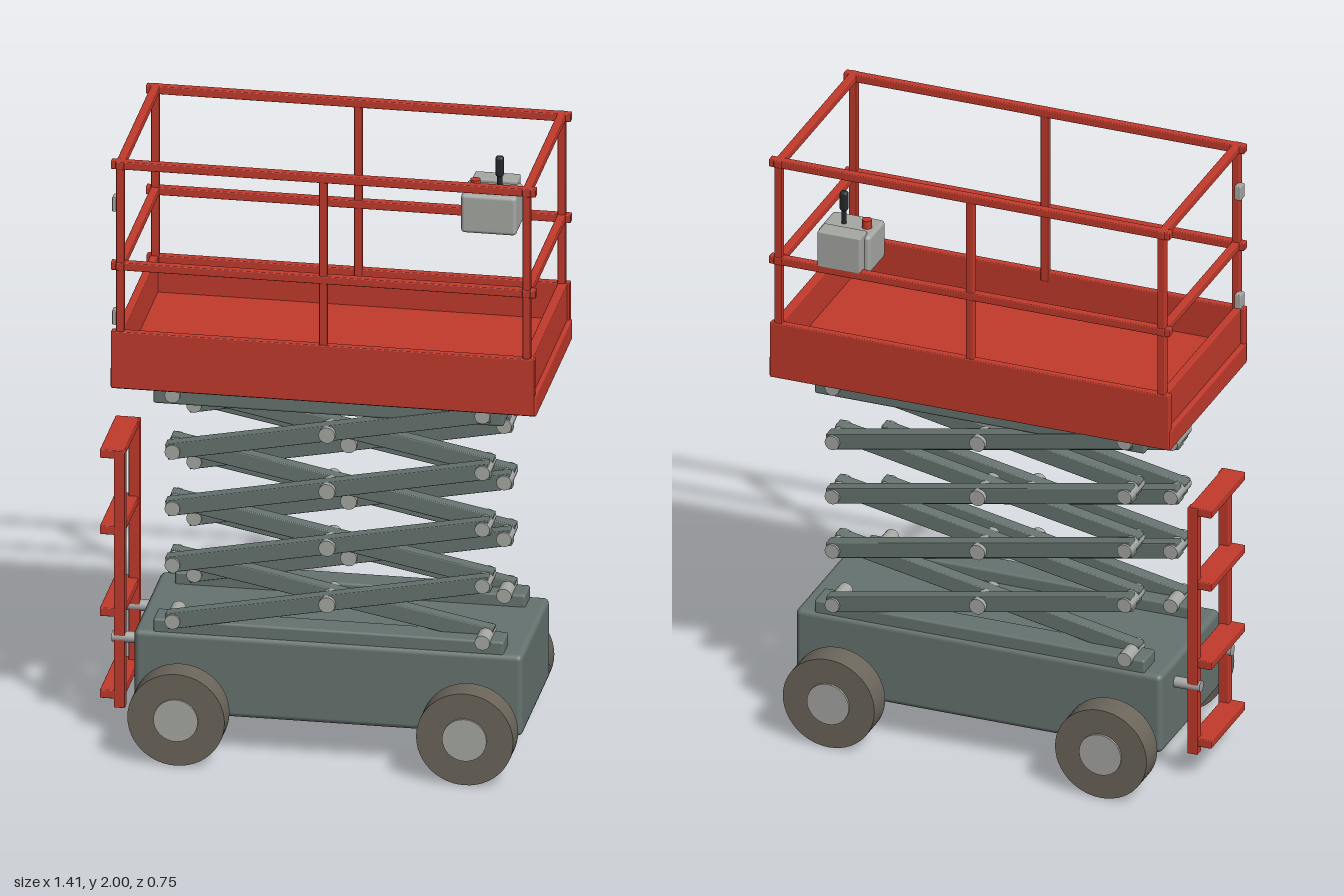
import * as THREE from 'three';
import { RoundedBoxGeometry } from 'three/addons/geometries/RoundedBoxGeometry.js';

const paint = (color) => new THREE.MeshStandardMaterial({ color });

export function createModel() {
  const model = new THREE.Group();
  const red = paint(0xc23a2c), body = paint(0x66736f), metal = paint(0xa6a8a4);
  const rubber = paint(0x6b655b), black = paint(0x25282c);

  const group = (name) => {
    const g = new THREE.Group();
    g.name = name;
    model.add(g);
    return g;
  };
  const add = (parent, name, geometry, material) => {
    const mesh = new THREE.Mesh(geometry, material);
    mesh.name = name;
    parent.add(mesh);
    return mesh;
  };
  // Box given by its limits on each axis, with softened edges
  const box = (parent, name, material, [x0, x1], [y0, y1], [z0, z1], r = 0.003) => {
    const mesh = add(parent, name, new RoundedBoxGeometry(x1 - x0, y1 - y0, z1 - z0, 2, r), material);
    mesh.position.set((x0 + x1) / 2, (y0 + y1) / 2, (z0 + z1) / 2);
    return mesh;
  };
  // Cylinder centred at (x, y, z) along the given axis
  const rod = (parent, name, material, axis, r, length, x, y, z, sides = 20) => {
    const geometry = new THREE.CylinderGeometry(r, r, length, sides);
    if (axis === 'z') geometry.rotateX(Math.PI / 2);
    if (axis === 'x') geometry.rotateZ(Math.PI / 2);
    const mesh = add(parent, name, geometry, material);
    mesh.position.set(x, y, z);
    return mesh;
  };

  // Chassis with axles and wheels
  const chassis = group('chassis');
  box(chassis, 'chassisBody', body, [-0.58, 0.645], [0.125, 0.397], [-0.247, 0.247], 0.018);
  for (const x of [-0.425, 0.485]) {
    rod(chassis, 'axle', metal, 'z', 0.03, 0.6, x, 0.155, 0);
    for (const s of [-1, 1]) {
      const wheel = group('wheel');
      rod(wheel, 'tyre', rubber, 'z', 0.153, 0.09, x, 0.155, s * 0.321, 48);
      rod(wheel, 'hub', metal, 'z', 0.07, 0.104, x, 0.155, s * 0.321, 32);
    }
  }

  // Scissor lift: four crossed levels on each side
  const lift = group('scissorLift');
  const xL = -0.457, xR = 0.52, xM = (xL + xR) / 2;
  const base = 0.435, step = 0.19, levels = 4;
  const armLength = Math.hypot(xR - xL, step) + 0.04;
  const slope = Math.atan2(step, xR - xL);
  for (const s of [-1, 1]) {
    const z = s * 0.193;
    box(lift, 'lowerTrack', body, [-0.52, 0.585], [0.38, 0.437], [z - 0.045, z + 0.045], 0.008);
    box(lift, 'upperTrack', body, [-0.52, 0.585], [1.16, 1.237], [z - 0.045, z + 0.045], 0.008);
    for (let i = 0; i < levels; i++) {
      const y = base + step * (i + 0.5);
      for (const d of [-1, 1]) {
        const arm = add(lift, 'scissorArm', new RoundedBoxGeometry(armLength, 0.052, 0.044, 2, 0.003), body);
        arm.position.set(xM, y, z + d * 0.029);
        arm.rotation.z = d * slope;
      }
      rod(lift, 'centrePin', metal, 'z', 0.026, 0.134, xM, y, z);
    }
    for (let i = 0; i <= levels; i++)
      for (const x of [xL, xR]) rod(lift, 'endPin', metal, 'z', 0.024, 0.118, x, base + step * i, z);
  }

  // Platform tray
  const platform = group('platform');
  box(platform, 'floor', red, [-0.64, 0.703], [1.235, 1.308], [-0.322, 0.322], 0.008);
  for (const s of [-1, 1]) {
    const z = s * 0.315;
    box(platform, 'sideToeBoard', red, [-0.637, 0.698], [1.24, 1.43], [z - 0.013, z + 0.013]);
  }
  box(platform, 'endToeBoard', red, [-0.625, -0.6], [1.3, 1.43], [-0.315, 0.315]);
  box(platform, 'endToeBoard', red, [0.66, 0.69], [1.3, 1.43], [-0.315, 0.315]);

  // Guard rails
  const rails = group('guardRails');
  const postX = [-0.609, 0.031, 0.672], railZ = 0.311;
  for (const s of [-1, 1]) {
    const z = s * railZ;
    for (const x of postX)
      box(rails, 'post', red, [x - 0.0125, x + 0.0125], [1.4, 1.985], [z - 0.0125, z + 0.0125]);
  }
  for (const y of [1.648, 1.987]) {
    for (const s of [-1, 1])
      box(rails, 'sideRail', red, [-0.638, 0.702], [y - 0.013, y + 0.013], [s * railZ - 0.014, s * railZ + 0.014]);
    for (const x of [postX[0], postX[2]])
      box(rails, 'endRail', red, [x - 0.013, x + 0.013], [y - 0.0125, y + 0.0125], [-0.328, 0.328]);
  }
  for (const y of [1.467, 1.847])
    box(rails, 'gateHinge', metal, [-0.637, -0.615], [y - 0.024, y + 0.024], [0.272, 0.306]);

  // Control box hung on the back rail
  const control = group('controlBox');
  box(control, 'controlCase', metal, [0.38, 0.555], [1.638, 1.767], [-0.285, -0.152], 0.012);
  box(control, 'controlBracket', metal, [0.397, 0.54], [1.65, 1.778], [-0.325, -0.262], 0.004);
  rod(control, 'stopButton', red, 'y', 0.016, 0.035, 0.415, 1.777, -0.22);
  rod(control, 'joystickShaft', black, 'y', 0.008, 0.07, 0.492, 1.79, -0.22);
  box(control, 'joystickGrip', black, [0.479, 0.505], [1.81, 1.878], [-0.231, -0.207], 0.009);

  // Ladder on the entry end
  const ladder = group('ladder');
  for (const s of [-1, 1]) {
    const z = s * 0.13;
    box(ladder, 'ladderUpright', red, [-0.66, -0.625], [0.09, 0.95], [z - 0.016, z + 0.016]);
    rod(ladder, 'ladderMount', metal, 'x', 0.018, 0.1, -0.617, 0.325, z);
  }
  for (const y of [0.132, 0.407, 0.682, 0.938])
    box(ladder, 'rung', red, [-0.705, -0.63], [y - 0.014, y + 0.014], [-0.142, 0.142]);

  return model;
}
